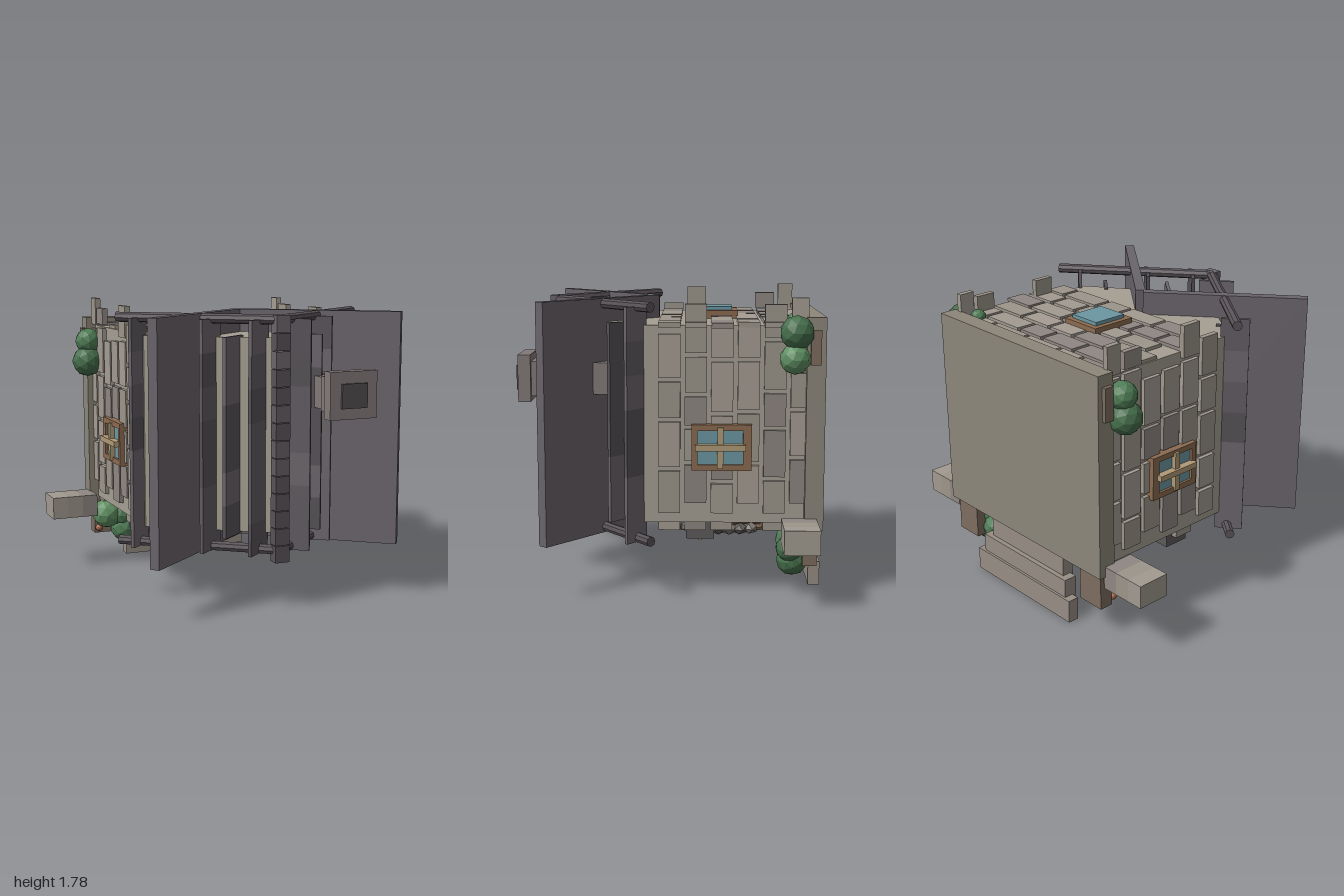
import * as THREE from 'three';

const mats = {};
const mat = (color) => (mats[color] ??= new THREE.MeshStandardMaterial({ color, flatShading: true }));
const C = {
  wall: 0xa6a093, base: 0x8d877a, stones: [0xa69d94, 0x8f8782, 0x9c958a, 0xa19a90],
  roof: 0x6a646b, tiles: [0x625c62, 0x6c666c, 0x575258], beam: 0x5a5358,
  step: 0x978d84, wood: 0x8b6a50, glass: 0x6c97a2, trim: 0xb09a76, door: 0x4a3326,
  greens: [0x4f7d56, 0x5f8f62, 0x466f4c], chimney: 0x827a78,
};
// small seeded number generator
let seed = 7;
const rnd = () => ((seed = (seed * 16807) % 2147483647) / 2147483647);
const pick = (list) => list[Math.floor(rnd() * list.length)];

function add(parent, name, geo, color, x, y, z) {
  const m = new THREE.Mesh(geo, mat(color));
  m.name = name;
  m.position.set(x, y, z);
  parent.add(m);
  return m;
}
// box given by its extents on each axis
function box(parent, name, color, [x0, x1], [y0, y1], [z0, z1]) {
  return add(parent, name, new THREE.BoxGeometry(x1 - x0, y1 - y0, z1 - z0), color,
    (x0 + x1) / 2, (y0 + y1) / 2, (z0 + z1) / 2);
}
function group(parent, name) {
  const g = new THREE.Group();
  g.name = name;
  parent.add(g);
  return g;
}
// cuts a course of stones into random lengths between a and b
function course(a, b, place) {
  for (let p = a; p < b - 0.08;) {
    const len = 0.16 + rnd() * 0.13;
    place(p, Math.min(p + len, b));
    p += len + 0.025;
  }
}

export function createModel() {
  const model = new THREE.Group();
  model.name = 'cottage';

  // five-sided body
  const s = new THREE.Shape([[-0.65, -0.82], [0.65, -0.82], [0.65, 0.19], [0, 0.64], [-0.65, 0.19]]
    .map((p) => new THREE.Vector2(...p)));
  const bodyGeo = new THREE.ExtrudeGeometry(s, { depth: 1.16, bevelEnabled: false });
  bodyGeo.rotateX(Math.PI / 2);
  add(model, 'body', bodyGeo, C.wall, 0, 1.6, 0);
  box(model, 'foundation', C.base, [-0.71, 0.71], [0.41, 1.65], [-0.9, -0.79]);

  // stone courses on the four walls
  const stones = group(model, 'wallStones');
  const tops = [1.65, 1.77, 1.59, 1.61, 1.72, 1.78];
  const ends = [0.7, 0.725, 0.74, 0.76, 0.7, 0.7];
  for (let i = 0; i < 6; i++) {
    const z = [-0.153 * i - 0.065, -0.153 * i + 0.062];
    if (i === 5) z[0] = -0.8;
    for (const side of [-1, 1]) {
      const x = side > 0 ? [0.64, 0.675] : [-0.675, -0.64];
      course(0.5 + 0.06 * (i % 2), tops[i], (a, b) => box(stones, 'sideStone', pick(C.stones), x, [a, b], z));
    }
    course(i % 2 ? -0.64 : -0.52, ends[i], (a, b) =>
      box(stones, 'rearStone', pick(C.stones), [a, b], [1.59, 1.62], z));
    course(i % 2 ? -0.64 : -0.56, 0.64, (a, b) => {
      const near = a < 0 && b > 0 ? 0 : Math.min(Math.abs(a), Math.abs(b));
      if (Math.hypot(near, (z[0] + z[1]) / 2 + 0.34) > 0.42)
        box(stones, 'frontStone', pick(C.stones), [a, b], [0.39, 0.45], z);
    });
  }

  // roof slabs, beams and rows of tiles on both sides
  const roof = group(model, 'roof');
  const angle = 0.685;
  for (const side of [-1, 1]) {
    const slab = add(roof, 'roofSlab', new THREE.BoxGeometry(1.0, 1.42, 0.06), C.roof, side * 0.4, 1.03, 0.415);
    slab.rotation.y = -side * angle;
    for (const y of [0.355, 1.71]) {
      const beam = add(roof, 'edgeBeam', new THREE.CylinderGeometry(0.03, 0.03, 1.0, 8), C.beam, side * 0.395, y, 0.41);
      beam.quaternion.setFromUnitVectors(new THREE.Vector3(0, 1, 0), new THREE.Vector3(side * 0.79, 0, -0.62).normalize());
    }
    for (let row = 0; row < 5; row++) {
      const x = [0.11, 0.23, 0.34, 0.555, 0.69][row];
      const count = row % 2 ? 6 : 7;
      const h = 0.197;
      for (let k = 0; k < count; k++) {
        const tile = add(roof, 'roofTile', new THREE.BoxGeometry(row < 3 ? 0.22 : 0.17, h, 0.022), pick(C.tiles),
          side * x, 1.02 + (k - (count - 1) / 2) * h, 0.735 - x * 0.785);
        tile.rotation.y = -side * angle;
      }
    }
  }
  for (let k = 0; k < 14; k++)
    box(roof, 'ridgeTile', pick(C.tiles), [-0.045, 0.045], [0.285 + k * 0.104, 0.385 + k * 0.104], [0.685, 0.755]);

  // chimney
  const chimney = group(model, 'chimney');
  for (let k = 0; k < 4; k++) {
    const z = 0.35 + k * 0.12;
    const e = (k % 2) * 0.008;
    box(chimney, 'chimneyBlock', C.chimney, [0.275 - e, 0.495 + e], [1.175 - e, 1.365 + e], [z, z + 0.12]);
  }
  box(chimney, 'chimneyCap', C.chimney, [0.23, 0.535], [1.135, 1.415], [0.82, 0.895]);
  box(chimney, 'chimneyPot', 0x4f4d4e, [0.3, 0.465], [1.2, 1.345], [0.89, 0.912]);

  // side windows
  for (const side of [-1, 1]) {
    const w = group(model, 'sideWindow');
    const at = (a, b) => (side > 0 ? [a, b] : [-b, -a]);
    for (const z of [[-0.48, -0.43], [-0.165, -0.13]]) box(w, 'frameSide', C.wood, at(0.65, 0.705), [0.76, 1.03], z);
    for (const y of [[0.76, 0.795], [0.995, 1.03]]) box(w, 'frameRail', C.wood, at(0.65, 0.705), y, [-0.44, -0.16]);
    box(w, 'glass', C.glass, at(0.65, 0.69), [0.79, 1.0], [-0.44, -0.16]);
    box(w, 'uprightBar', C.trim, at(0.68, 0.72), [0.775, 1.015], [-0.315, -0.28]);
    box(w, 'crossBar', C.trim, at(0.68, 0.735), [0.88, 0.915], [-0.445, -0.15]);
  }
  // rear window
  const rear = group(model, 'rearWindow');
  box(rear, 'frame', C.wood, [-0.14, 0.135], [1.59, 1.65], [-0.41, -0.115]);
  box(rear, 'glass', C.glass, [-0.107, 0.102], [1.6, 1.672], [-0.375, -0.15]);

  // round door with stone ring and knob
  const door = group(model, 'door');
  add(door, 'doorPanel', new THREE.CylinderGeometry(0.39, 0.39, 0.12, 32), C.door, 0, 0.385, -0.34);
  const rim = add(door, 'doorRim', new THREE.TorusGeometry(0.385, 0.022, 6, 36), C.wood, 0, 0.335, -0.34);
  rim.rotation.x = Math.PI / 2;
  for (let k = -2; k <= 2; k++)
    box(door, 'doorPlank', 0x3f2b20, [k * 0.12 - 0.005, k * 0.12 + 0.005], [0.32, 0.335],
      [-0.34 - Math.sqrt(0.13 - (k * 0.12) ** 2), -0.34 + Math.sqrt(0.13 - (k * 0.12) ** 2)]);
  for (let k = 0; k < 26; k++) {
    const a = -0.35 + (k / 25) * (Math.PI + 0.7);
    const st = add(door, 'ringStone', new THREE.IcosahedronGeometry(0.05, 0), pick([0x6f6a66, 0x7d7772, 0x625d5a]),
      Math.cos(a) * 0.43, 0.345, -0.34 + Math.sin(a) * 0.43);
    st.scale.set(1, 0.7, 1);
    st.rotation.y = a;
  }
  add(door, 'knob', new THREE.IcosahedronGeometry(0.026, 1), 0xb59a5c, 0.145, 0.308, -0.41);

  // small front windows
  for (const x of [-0.52, 0.52]) {
    const w = group(model, 'frontWindow');
    box(w, 'frame', 0x5d5a5a, [x - 0.085, x + 0.085], [0.33, 0.45], [-0.265, -0.1]);
    box(w, 'glass', C.glass, [x - 0.06, x + 0.06], [0.322, 0.4], [-0.24, -0.125]);
    box(w, 'uprightBar', C.trim, [x - 0.01, x + 0.01], [0.312, 0.35], [-0.24, -0.125]);
    box(w, 'crossBar', C.trim, [x - 0.06, x + 0.06], [0.312, 0.35], [-0.192, -0.172]);
  }

  // steps
  box(model, 'lowerStep', C.step, [-0.44, 0.44], [0, 0.145], [-0.91, -0.84]);
  box(model, 'middleStep', C.step, [-0.39, 0.39], [0.115, 0.26], [-0.895, -0.81]);
  box(model, 'upperStep', C.step, [-0.34, 0.34], [0.23, 0.42], [-0.865, -0.79]);

  // garden walls, planters and bushes
  for (const side of [-1, 1]) {
    for (let k = 0; k < 3; k++) {
      const a = side * (0.7 + 0.1 * k), b = side * (0.8 + 0.1 * k);
      box(model, 'gardenWall', C.stones[(k + 1) % 4], [Math.min(a, b), Math.max(a, b)], [0.335, 0.477], [-0.86, -0.655]);
    }
    box(model, 'planter', 0x7d6d5f, side > 0 ? [0.5, 0.68] : [-0.68, -0.5], [0.185, 0.42], [-0.87, -0.785]);
    box(model, 'wallPlanter', 0x7d6d5f, side > 0 ? [0.68, 0.735] : [-0.735, -0.68], [1.38, 1.58], [-0.87, -0.81]);
  }
  const bushes = group(model, 'bushes');
  for (const [x, y, z, r] of [
    [0.45, 0.235, -0.74, 0.1], [0.585, 0.2, -0.73, 0.095], [0.63, 0.28, -0.71, 0.08], [0.55, 0.31, -0.73, 0.1],
    [-0.485, 0.225, -0.73, 0.1], [-0.61, 0.33, -0.73, 0.1], [-0.51, 0.32, -0.72, 0.09],
    [0.73, 1.565, -0.73, 0.1], [0.735, 1.415, -0.72, 0.09], [-0.73, 1.37, -0.72, 0.1],
    [-0.72, 1.5, -0.73, 0.085], [0.565, 1.625, -0.73, 0.048],
  ]) add(bushes, 'bush', new THREE.IcosahedronGeometry(r, 1), pick(C.greens), x, y, z).rotation.y = x * 9;
  for (const [x, y] of [[-0.66, 0.225], [-0.57, 0.255], [-0.54, 0.262]])
    add(bushes, 'flower', new THREE.IcosahedronGeometry(0.025, 1), 0xa86a50, x, y, -0.76);

  return model;
}
